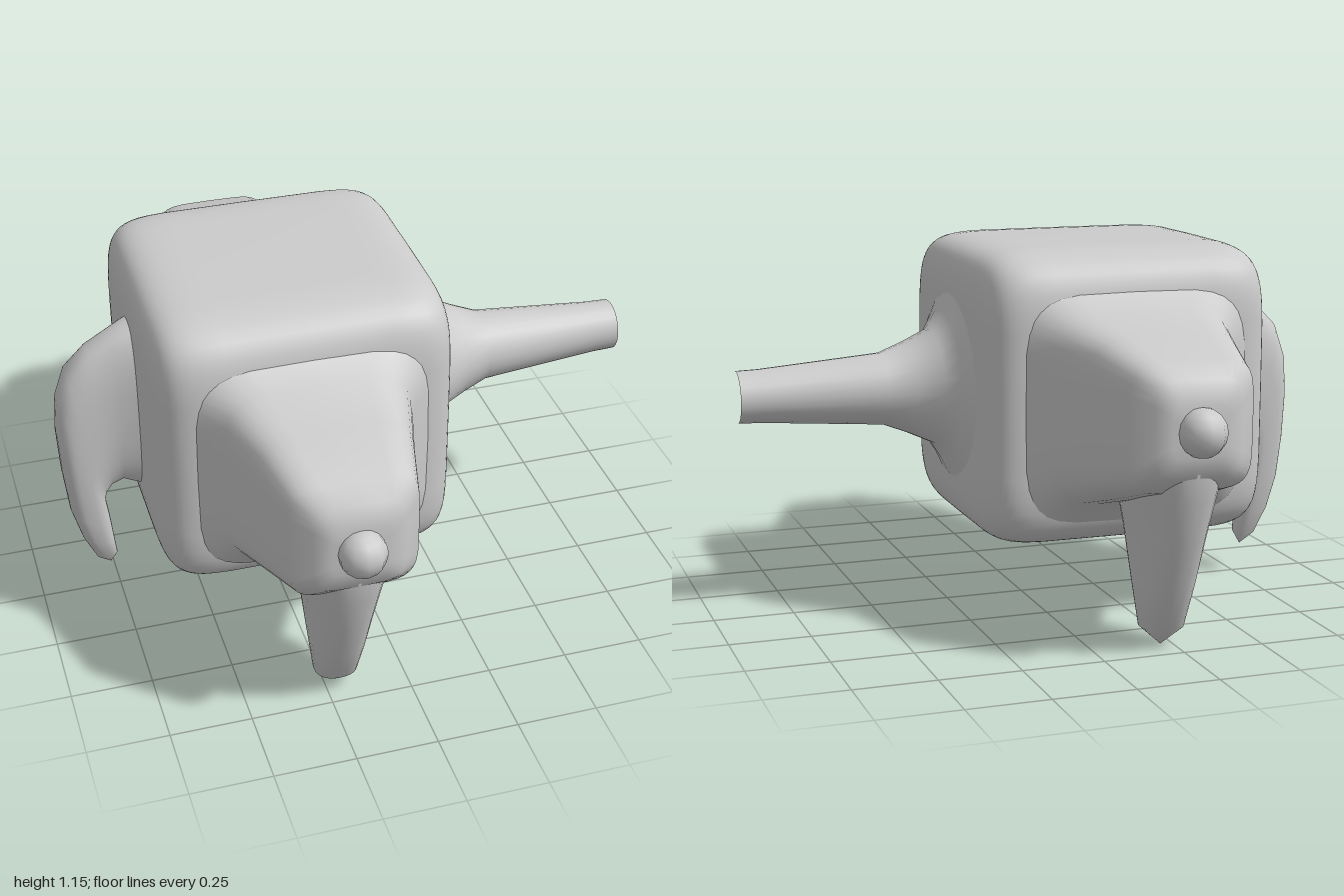
import * as THREE from 'three';

const material = new THREE.MeshStandardMaterial({ color: 0xcccccc });
const CX = -0.215; // body centre, x
const CY = 0.695; // body centre, y

// Signed power, used for superellipse cross-sections
const spow = (v, e) => Math.sign(v) * Math.pow(Math.abs(v), e);

// Skin a run of superellipse rings. Each section is [ax, ay, bx, by, halfWidth]:
// A and B are opposite ends of the ring in the xy plane, halfWidth is along z.
function loft(name, sections, power, segments = 32) {
  const positions = [];
  const indices = [];
  for (const [ax, ay, bx, by, half] of sections) {
    for (let j = 0; j < segments; j++) {
      const angle = (j / segments) * Math.PI * 2;
      const c = spow(Math.cos(angle), 2 / power) / 2;
      const s = spow(Math.sin(angle), 2 / power);
      positions.push((ax + bx) / 2 + (ax - bx) * c, (ay + by) / 2 + (ay - by) * c, half * s);
    }
  }
  for (let i = 0; i < sections.length - 1; i++) {
    for (let j = 0; j < segments; j++) {
      const a = i * segments + j;
      const b = i * segments + ((j + 1) % segments);
      indices.push(a, b, a + segments, b, b + segments, a + segments);
    }
  }
  const geometry = new THREE.BufferGeometry();
  geometry.setAttribute('position', new THREE.Float32BufferAttribute(positions, 3));
  geometry.setIndex(indices);
  geometry.computeVertexNormals();
  const mesh = new THREE.Mesh(geometry, material);
  mesh.name = name;
  return mesh;
}

// Soft cube, lofted along x
function createBody() {
  const half = 0.455;
  const steps = 32;
  const sections = [];
  for (let i = 0; i <= steps; i++) {
    const angle = (i / steps) * Math.PI;
    const x = CX - half * spow(Math.cos(angle), 0.25);
    const r = i === 0 || i === steps ? 0 : half * Math.pow(Math.sin(angle), 0.25);
    sections.push([x, CY + r, x, CY - r, r]);
  }
  return loft('body', sections, 6, 48);
}

// Snout with nose and downward fang, built along +x and turned into place
function createHead(name) {
  const head = new THREE.Group();
  head.name = name;

  // [distance, bottom, top, half width]
  const snout = [
    [0.40, 0.31, 1.06, 0.38],
    [0.45, 0.34, 1.02, 0.35],
    [0.50, 0.40, 0.972, 0.285],
    [0.67, 0.45, 0.935, 0.235],
    [0.85, 0.51, 0.888, 0.19],
    [0.905, 0.56, 0.84, 0.135],
    [0.92, 0.62, 0.77, 0.085],
    [0.92, CY, CY, 0],
  ].map(([d, low, high, w]) => [d, high, d, low, w]);
  head.add(loft('snout', snout, 5));

  // [height, outer, inner, half width]
  const fang = [
    [0.66, 0.91, 0.46, 0.15],
    [0.57, 0.908, 0.44, 0.14],
    [0.48, 0.885, 0.45, 0.12],
    [0.36, 0.85, 0.478, 0.098],
    [0.20, 0.785, 0.535, 0.082],
    [0.06, 0.715, 0.59, 0.066],
    [0.00, 0.65, 0.65, 0],
  ].map(([y, outer, inner, w]) => [outer, y, inner, y, w]);
  head.add(loft('fang', fang, 2.4));

  const nose = new THREE.Mesh(new THREE.SphereGeometry(0.072, 10, 8), material);
  nose.name = 'nose';
  nose.position.set(0.928, CY, 0);
  head.add(nose);

  head.position.x = CX;
  return head;
}

// Flared open pipe on the left side
function createPipe() {
  const sections = [
    [0.20, 0.36],
    [0.243, 0.28],
    [0.265, 0.235],
    [0.30, 0.18],
    [0.38, 0.143],
    [0.46, 0.112],
    [0.84, 0.082],
    [0.91, 0.08],
  ].map(([x, r]) => [x, CY + r, x, CY - r, r]);
  return loft('pipe', sections, 2, 24);
}

// Curved claw on the right side, built along +x and turned around
function createClaw() {
  const claw = loft('claw', [
    [0.60, 1.00, 0.60, 0.39, 0.13],
    [0.68, 0.975, 0.68, 0.41, 0.105],
    [0.72, 0.955, 0.72, 0.425, 0.088],
    [0.80, 0.91, 0.755, 0.41, 0.082],
    [0.87, 0.84, 0.773, 0.385, 0.082],
    [0.905, 0.74, 0.778, 0.365, 0.08],
    [0.912, 0.62, 0.777, 0.345, 0.078],
    [0.905, 0.47, 0.773, 0.32, 0.074],
    [0.89, 0.33, 0.767, 0.27, 0.066],
    [0.86, 0.22, 0.76, 0.20, 0.054],
    [0.82, 0.13, 0.753, 0.135, 0.03],
    [0.775, 0.092, 0.775, 0.092, 0],
  ], 2.8);
  claw.rotation.y = Math.PI;
  return claw;
}

export function createModel() {
  const model = new THREE.Group();
  model.name = 'model';
  const frontHead = createHead('frontHead');
  frontHead.rotation.y = -Math.PI / 2;
  const backHead = createHead('backHead');
  backHead.rotation.y = Math.PI / 2;
  model.add(createBody(), frontHead, backHead, createPipe(), createClaw());
  return model;
}
